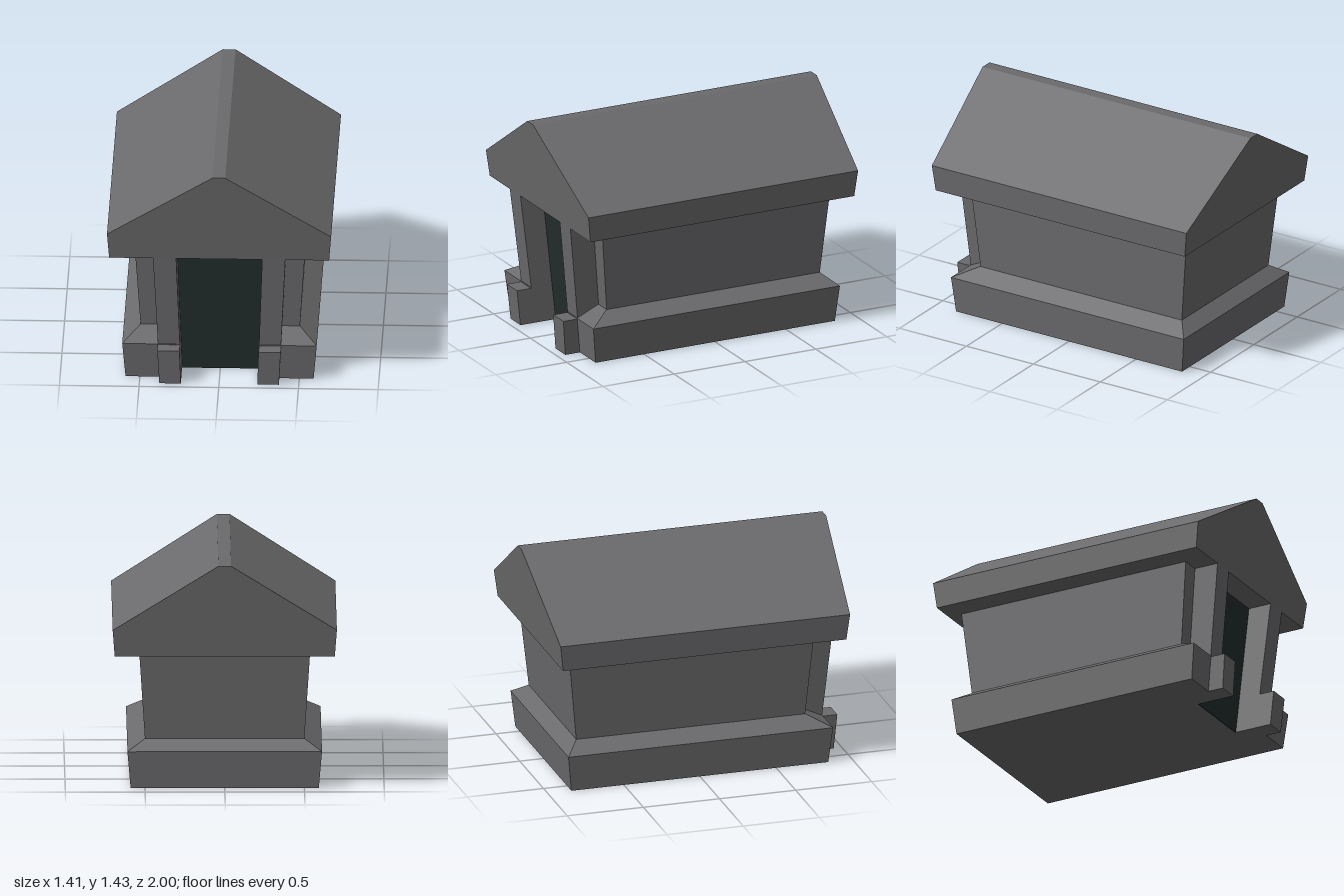
import * as THREE from 'three';

// Closed solid through stacked rectangles: rows of [y, x0, x1, z0, z1]
function loft(rows) {
  const pos = [];
  const quad = (a, b, c, d) => pos.push(...a, ...b, ...c, ...a, ...c, ...d);
  const rings = rows.map(([y, x0, x1, z0, z1]) =>
    [[x0, y, z1], [x1, y, z1], [x1, y, z0], [x0, y, z0]]);
  for (let i = 0; i < rings.length - 1; i++) {
    const lo = rings[i], hi = rings[i + 1];
    for (let k = 0; k < 4; k++) {
      const n = (k + 1) % 4;
      quad(lo[k], lo[n], hi[n], hi[k]);
    }
  }
  const bottom = rings[0], top = rings[rings.length - 1];
  quad(bottom[3], bottom[2], bottom[1], bottom[0]);
  quad(top[0], top[1], top[2], top[3]);
  const geo = new THREE.BufferGeometry();
  geo.setAttribute('position', new THREE.Float32BufferAttribute(pos, 3));
  geo.computeVertexNormals();
  return geo;
}

const mirrorRows = rows => rows.map(([y, x0, x1, z0, z1]) => [y, -x1, -x0, z0, z1]);

export function createModel() {
  const model = new THREE.Group();
  model.name = 'stoneHouse';
  const stone = new THREE.MeshStandardMaterial({ name: 'greyStone', color: 0x6b6a6c, flatShading: true });
  const dark = new THREE.MeshStandardMaterial({ name: 'darkDoor', color: 0x232d2d, flatShading: true });

  const add = (name, geo, mat) => {
    const mesh = new THREE.Mesh(geo, mat);
    mesh.name = name;
    model.add(mesh);
  };
  const addPair = (name, rows) => {
    add(name + 'Left', loft(rows), stone);
    add(name + 'Right', loft(mirrorRows(rows)), stone);
  };

  // Flared walls standing on a plinth with a sloped top
  add('wallsAndPlinth', loft([
    [0, -0.59, 0.59, -0.845, 0.69],
    [0.235, -0.61, 0.61, -0.87, 0.712],
    [0.305, -0.5, 0.5, -0.785, 0.718],
    [0.85, -0.535, 0.535, -0.84, 0.768],
  ]), stone);

  // Plinth wings on both sides of the doorway
  addPair('plinthFront', [
    [0, 0.25, 0.59, 0.66, 0.842],
    [0.235, 0.26, 0.61, 0.68, 0.868],
    [0.305, 0.262, 0.5, 0.69, 0.72],
  ]);

  // Leaning door pillars and the small blocks at their feet
  addPair('pillar', [
    [0, 0.24, 0.375, 0.66, 0.84],
    [0.85, 0.27, 0.415, 0.74, 0.93],
  ]);
  addPair('pillarFoot', [
    [0, 0.24, 0.375, 0.8, 0.945],
    [0.23, 0.248, 0.387, 0.8, 0.965],
  ]);

  // Recessed dark doorway
  add('door', loft([
    [0, -0.243, 0.243, 0.69, 0.697],
    [0.85, -0.273, 0.273, 0.768, 0.775],
  ]), dark);

  // Gabled roof whose ends lean outward towards the ridge
  const gable = new THREE.Shape([
    [-0.69, 0.85], [0.69, 0.85], [0.703, 1.02],
    [0.04, 1.435], [-0.04, 1.435], [-0.703, 1.02],
  ].map(([x, y]) => new THREE.Vector2(x, y)));
  const roof = new THREE.ExtrudeGeometry(gable, { depth: 1, bevelEnabled: false });
  const p = roof.attributes.position;
  for (let i = 0; i < p.count; i++) {
    const half = 0.93 + (p.getY(i) - 0.85) * 0.12;
    p.setZ(i, p.getZ(i) > 0.5 ? half : -half);
  }
  roof.computeVertexNormals();
  add('roof', roof, stone);

  return model;
}
